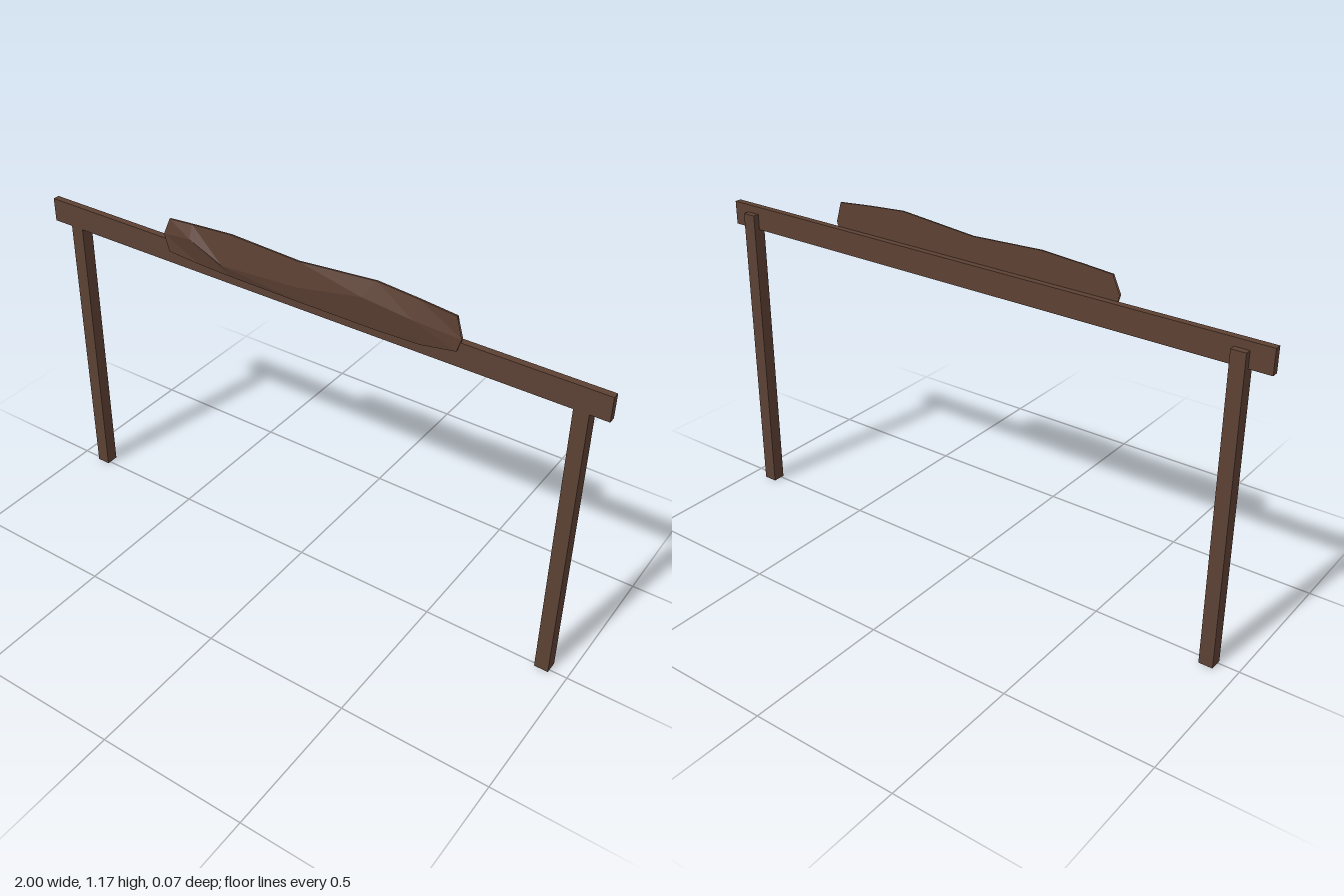
import * as THREE from 'three';

export function createModel() {
  const wood = new THREE.MeshStandardMaterial({ color: 0x5c4033, flatShading: true });
  wood.name = 'dark wood';
  const model = new THREE.Group();
  model.name = 'signFrame';

  const box = (name, w, h, d, x, y, z) => {
    const mesh = new THREE.Mesh(new THREE.BoxGeometry(w, h, d), wood);
    mesh.name = name;
    mesh.position.set(x, y, z);
    model.add(mesh);
  };

  // Crossbeam, with two posts set flush with its front
  box('crossbeam', 2, 0.08, 0.023, 0, 1.02, -0.0005);
  box('leftPost', 0.047, 1.034, 0.044, 0.917, 0.517, -0.011);
  box('rightPost', 0.047, 1.034, 0.044, -0.905, 0.517, -0.011);

  // Rough-hewn board: one cross-section per row, running along x
  // [xBottom, yBottom, xRidge, yRidge, zRidge, xTop, yTop]
  const back = 0.009, rim = 0.015;
  const sections = [
    [-0.5, 1.02, -0.515, 1.08, 0.017, -0.49, 1.137],
    [-0.38, 1.012, -0.4, 1.1, 0.032, -0.4, 1.144],
    [-0.25, 1.008, -0.28, 1.045, 0.028, -0.25, 1.154],
    [0, 1.006, 0, 1.06, 0.024, 0, 1.143],
    [0.27, 1.005, 0.23, 1.11, 0.033, 0.27, 1.166],
    [0.42, 1.01, 0.4, 1.09, 0.029, 0.41, 1.155],
    [0.535, 1.03, 0.55, 1.075, 0.016, 0.53, 1.143],
  ];
  const rings = sections.map(([xb, yb, xr, yr, zr, xt, yt]) => [
    [xb, yb, back], [xb, yb, rim], [xr, yr, zr], [xt, yt, rim], [xt, yt, back], [xr, yr, back],
  ]);
  const positions = rings.flat(2);
  const n = 6, index = [];
  for (let i = 0; i < rings.length - 1; i++) {
    for (let j = 0; j < n; j++) {
      const a = i * n + j, b = i * n + (j + 1) % n, c = a + n, d = b + n;
      index.push(a, c, b, b, c, d);
    }
  }
  // End caps
  const last = (rings.length - 1) * n;
  for (let j = 1; j < n - 1; j++) {
    index.push(0, j, j + 1, last, last + j + 1, last + j);
  }
  const geometry = new THREE.BufferGeometry();
  geometry.setAttribute('position', new THREE.Float32BufferAttribute(positions, 3));
  geometry.setIndex(index);
  const flat = geometry.toNonIndexed();
  flat.computeVertexNormals();
  const board = new THREE.Mesh(flat, wood);
  board.name = 'hewnBoard';
  model.add(board);

  return model;
}
